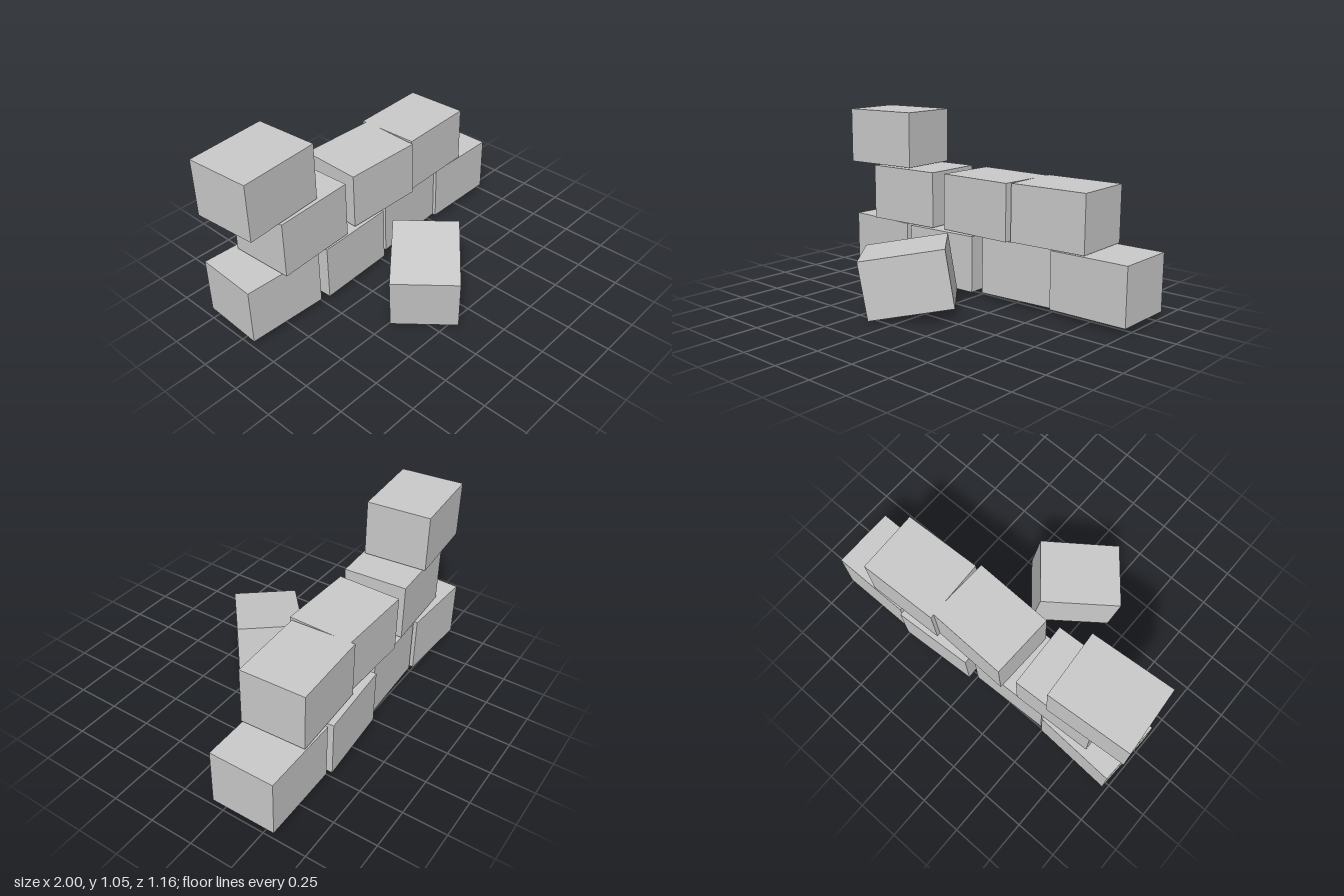
import * as THREE from 'three';

const WIDTH = 0.473, HEIGHT = 0.332, DEPTH = 0.375;
const COURSE_Y = [0.201, 0.541, 0.88];

// Standing blocks per course, bottom to top: [x, z, turn about y]
const COURSES = [
  [[-0.747, -0.337, -0.045], [-0.242, -0.32, 0.04], [0.276, -0.378, 0.063], [0.76, -0.373, 0.004]],
  [[-0.545, -0.31, 0.05], [0.017, -0.333, -0.025], [0.495, -0.36, 0.042]],
  [[-0.75, -0.311, 0.078]],
];

export function createModel() {
  const model = new THREE.Group();
  model.name = 'brokenBlockWall';
  const geometry = new THREE.BoxGeometry(WIDTH, HEIGHT, DEPTH);
  const material = new THREE.MeshStandardMaterial({ color: 0xcccccc, flatShading: true });

  const addBlock = (name, parent, x, y, z, turn, tilt = 0) => {
    const block = new THREE.Mesh(geometry, material);
    block.name = name;
    block.position.set(x, y, z);
    block.rotation.set(0, turn, tilt, 'YXZ');
    parent.add(block);
  };

  // Loosely stacked wall
  COURSES.forEach((blocks, row) => {
    const course = new THREE.Group();
    course.name = `course${row + 1}`;
    blocks.forEach(([x, z, turn], i) => addBlock(`block${i + 1}`, course, x, COURSE_Y[row], z, turn));
    model.add(course);
  });

  // Block lying tilted in front of the wall
  addBlock('fallenBlock', model, -0.102, 0.202, 0.267, 0.7, 0.158);

  return model;
}
